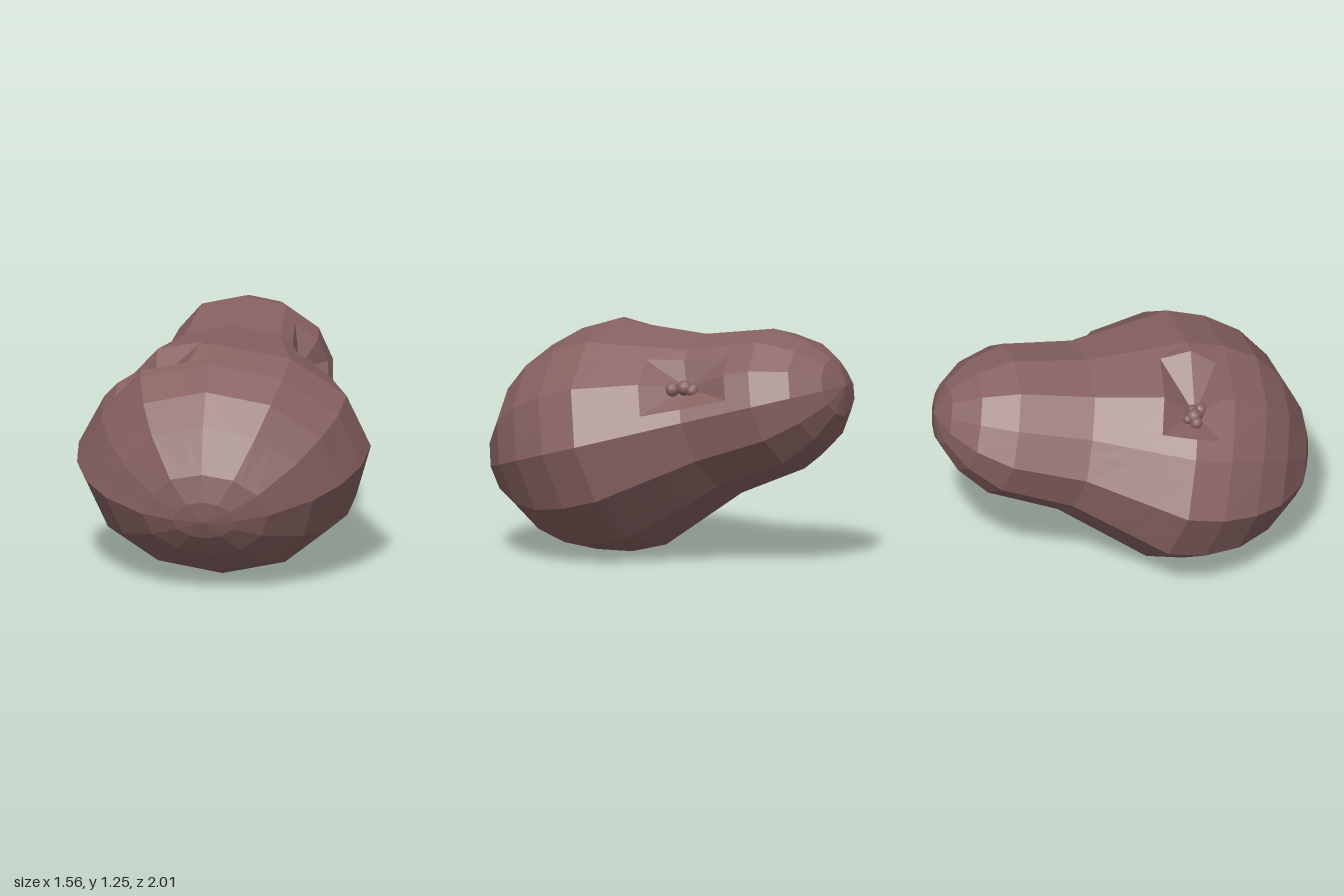
import * as THREE from 'three';

export function createModel() {
  const group = new THREE.Group();
  const color = 0x876261;
  const skin = new THREE.MeshStandardMaterial({ color, flatShading: true });
  const smooth = new THREE.MeshStandardMaterial({ color });

  // Tilted body axis running from the broad front to the narrow back
  const start = new THREE.Vector3(-0.155, 0.43, 0.98);
  const end = new THREE.Vector3(0.245, 0.98, -0.995);
  const axis = end.clone().sub(start);
  const length = axis.length();
  axis.normalize();
  const side = new THREE.Vector3().crossVectors(axis, new THREE.Vector3(0, 1, 0)).normalize();
  const up = new THREE.Vector3().crossVectors(side, axis);

  // Cross-sections: distance along the axis, half width, half height
  const rings = [
    [0, 0, 0], [0.02, 0.17, 0.11], [0.08, 0.34, 0.245], [0.25, 0.56, 0.44],
    [0.42, 0.685, 0.555], [0.62, 0.765, 0.607], [0.69, 0.772, 0.609], [0.83, 0.785, 0.612],
    [1.0, 0.693, 0.552], [1.15, 0.613, 0.499], [1.34, 0.51, 0.432], [1.6, 0.472, 0.398],
    [1.74, 0.452, 0.38], [1.92, 0.335, 0.28], [2.04, 0.18, 0.155], [length, 0, 0],
  ];
  // Twelve sides, each split once to give the rims of the pits; the upper right corner is flatter
  const SIDES = 12, COLS = SIDES * 2;
  const roll = THREE.MathUtils.degToRad(2);
  const corner = (k) => {
    const a = roll + (k * 2 * Math.PI) / SIDES;
    return new THREE.Vector2(Math.cos(a), Math.sin(a)).multiplyScalar(k === 5 ? 0.92 : 1);
  };
  const outline = [];
  for (let k = 0; k < SIDES; k++) {
    const split = k === 1 || k === 4 ? 2 / 3 : 1 / 3;
    outline.push(corner(k), corner(k).lerp(corner(k + 1), split));
  }
  // Moved vertices, keyed by ring and column: two pit floors and a raised rim
  const moved = {
    '10,2': [0.42, 0.96, -0.17],
    '7,8': [-0.37, 1.0, 0.25],
    '7,7': [-0.14, 1.24, 0.33],
    '8,7': [-0.1, 1.21, 0.17],
  };
  // Quads split the other way so that all pit creases run into the floor
  const flipped = ['9,2', '10,1', '6,8', '7,7'];

  const positions = [], index = [];
  rings.forEach(([t, w, h], i) => {
    outline.forEach((p, j) => {
      const v = start.clone().addScaledVector(axis, t)
        .addScaledVector(side, p.x * w)
        .addScaledVector(up, p.y * h);
      positions.push(...(moved[`${i},${j}`] ?? v.toArray()));
      if (i === rings.length - 1) return;
      const a = i * COLS + j, b = i * COLS + ((j + 1) % COLS);
      const c = a + COLS, d = b + COLS;
      if (flipped.includes(`${i},${j}`)) {
        index.push(a, c, b, b, c, d);
        return;
      }
      if (i > 0) index.push(a, d, b);
      if (i < rings.length - 2) index.push(a, c, d);
    });
  });
  // The last ring closes in a point, so its quads keep one triangle each
  const geometry = new THREE.BufferGeometry();
  geometry.setAttribute('position', new THREE.Float32BufferAttribute(positions, 3));
  geometry.setIndex(index);
  geometry.computeVertexNormals();
  const body = new THREE.Mesh(geometry, skin);
  body.name = 'body';
  group.add(body);

  // Clusters of small buds sitting in the pits
  const bud = new THREE.SphereGeometry(1, 12, 8);
  const addCluster = (name, buds) => {
    const cluster = new THREE.Group();
    cluster.name = name;
    for (const [x, y, z, r] of buds) {
      const mesh = new THREE.Mesh(bud, smooth);
      mesh.name = 'bud';
      mesh.position.set(x, y, z);
      mesh.scale.setScalar(r);
      cluster.add(mesh);
    }
    group.add(cluster);
  };
  addCluster('leftBuds', [
    [0.455, 0.965, -0.165, 0.042], [0.47, 0.955, -0.1, 0.038], [0.455, 0.95, -0.205, 0.035],
    [0.43, 0.955, -0.13, 0.03], [0.46, 0.96, -0.075, 0.025], [0.455, 0.965, -0.215, 0.025],
  ]);
  addCluster('rightBuds', [
    [-0.42, 1.03, 0.22, 0.042], [-0.38, 1.03, 0.275, 0.037], [-0.455, 1.01, 0.22, 0.032],
    [-0.38, 1.04, 0.23, 0.03], [-0.42, 1.02, 0.185, 0.025], [-0.4, 1.02, 0.255, 0.03],
  ]);
  return group;
}
